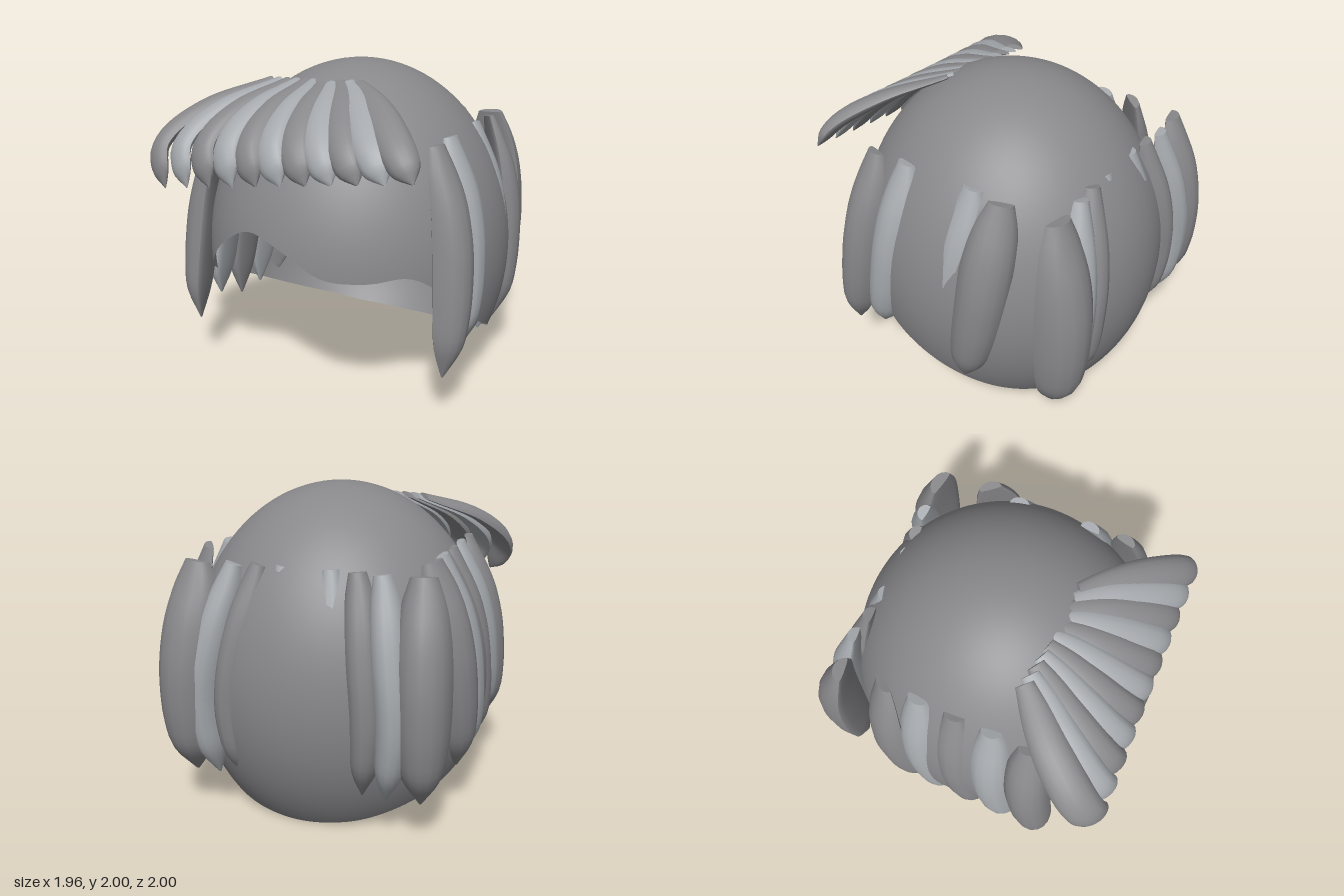
import * as THREE from 'three';
import { toCreasedNormals } from 'three/addons/utils/BufferGeometryUtils.js';

const V = (x, y, z) => new THREE.Vector3(x, y, z);
const lerp = THREE.MathUtils.lerp;
const dark = new THREE.MeshStandardMaterial({ color: 0x88888b, side: THREE.DoubleSide });
const light = new THREE.MeshStandardMaterial({ color: 0xa5a9ad, side: THREE.DoubleSide });
const CENTRE_Y = 0.82, RX = 0.965, RY = 1.18, RZ_FRONT = 1, RZ_BACK = 0.98;

// Height of the cap's hem every 15 degrees, from the front round by the left side
const hem = new THREE.CatmullRomCurve3(
  [1.05, 0.92, 0.9, 0.91, 0.74, 0.52, 0.38, 0.26, 0.16, 0.09, 0.035, 0.01,
    0, 0.01, 0.035, 0.09, 0.16, 0.26, 0.38, 0.5, 0.62, 0.78, 0.98, 1.11].map((y) => V(0, y, 0)),
  true, 'catmullrom');

// Open ellipsoid shell cut along the hem, a little deeper in front
function capGeometry() {
  const g = new THREE.SphereGeometry(1, 120, 40, 0, Math.PI * 2, 0, 3);
  const { position, normal, uv } = g.attributes;
  for (let i = 0; i < position.count; i++) {
    const u = ((uv.getX(i) % 1) + 1) % 1, a = u * Math.PI * 2;
    const rz = Math.cos(a) > 0 ? RZ_FRONT : RZ_BACK;
    const polar = (1 - uv.getY(i)) * Math.acos((hem.getPoint(u).y - CENTRE_Y) / RY);
    const s = Math.sin(polar), c = Math.cos(polar);
    position.setXYZ(i, RX * s * Math.sin(a), CENTRE_Y + RY * c, rz * s * Math.cos(a));
    const n = V(s * Math.sin(a) / RX, c / RY, s * Math.cos(a) / rz).normalize();
    normal.setXYZ(i, n.x, n.y, n.z);
  }
  return g;
}

// Width (x) and thickness (y) along a lock: slim root, full middle, pointed tip
const widths = [0.45, 0.74, 0.9, 0.98, 1, 0.98, 0.9, 0.7, 0.05];
const thicknesses = [0.3, 0.52, 0.74, 0.9, 1, 1, 0.93, 0.72, 0.05];
const taper = new THREE.CatmullRomCurve3(widths.map((w, i) => V(w, thicknesses[i], 0)), false, 'catmullrom');

// Sweep a section, domed outside and nearly flat inside, along a spine
function lockGeometry(points, outward, width, height, tilt = 0) {
  const spine = new THREE.CatmullRomCurve3(points);
  const rings = 24, sides = 16, pos = [], index = [];
  for (let i = 0; i <= rings; i++) {
    const t = i / rings, p = spine.getPoint(t), T = spine.getTangent(t);
    const N = outward(p).addScaledVector(T, -outward(p).dot(T)).normalize().applyAxisAngle(T, tilt);
    const B = N.clone().cross(T);
    const k = taper.getPoint(t);
    for (let j = 0; j < sides; j++) {
      const a = (j / sides) * Math.PI * 2, s = Math.sin(a);
      const q = p.clone().addScaledVector(B, Math.cos(a) * k.x * width / 2)
        .addScaledVector(N, s * k.y * (s > 0 ? height : 0.025));
      pos.push(q.x, q.y, q.z);
      if (i < rings) {
        const A = i * sides + j, b = i * sides + (j + 1) % sides;
        index.push(A, b, A + sides, b, b + sides, A + sides);
      }
    }
  }
  // Root cap
  for (let j = 1; j < sides - 1; j++) index.push(0, j + 1, j);
  const g = new THREE.BufferGeometry();
  g.setAttribute('position', new THREE.Float32BufferAttribute(pos, 3));
  g.setIndex(index);
  return toCreasedNormals(g, 0.9);
}

export function createModel() {
  const model = new THREE.Group();
  model.name = 'hair';
  const group = (name) => {
    const g = new THREE.Group();
    g.name = name;
    model.add(g);
    return g;
  };
  // Locks alternate between the dark and the light tone
  const addLock = (parent, name, i, geometry) => {
    const mesh = new THREE.Mesh(geometry, i % 2 ? light : dark);
    mesh.name = name;
    parent.add(mesh);
  };

  const cap = new THREE.Mesh(capGeometry(), dark);
  cap.name = 'cap';
  model.add(cap);

  // Fringe: locks fanning forward from a short parting
  const fringe = group('fringe');
  const first = [V(-0.45, 1.88, 0.32), V(-0.73, 1.72, 0.64), V(-0.86, 1.52, 0.88), V(-0.78, 1.31, 0.985)];
  const last = [V(0.16, 1.9, 0.37), V(0.43, 1.79, 0.63), V(0.64, 1.65, 0.83), V(0.77, 1.52, 0.92)];
  const count = 11;
  for (let i = 0; i < count; i++) {
    const u = i / (count - 1);
    const pts = first.map((p, k) => p.clone().lerp(last[k], u));
    const geometry = lockGeometry(pts, (p) => V(p.x * 0.7, p.y - CENTRE_Y, p.z), lerp(0.24, 0.21, u), 0.07, 0.22);
    addLock(fringe, 'fringeLock', i, geometry);
  }

  // Side locks: tips leaning forward, faces turning with the head
  for (const side of [1, -1]) {
    const row = group(side > 0 ? 'leftSideLocks' : 'rightSideLocks');
    [0.47, 0.24, 0.01, -0.22, -0.43].forEach((z, i) => {
      const out = side > 0 ? [0.02, 0.01, -0.03, -0.015, 0.01][i] : 0.02;
      const x = (d) => side * (d + out);
      const tip = i === 1 ? 0.41 : 0.32;
      const pts = [V(x(0.68), 1.62, z), V(x(0.765), 1.25, z + 0.03), V(x(0.81), 0.8, z + 0.09), V(x(0.835), tip, z + 0.18)];
      const width = i === 4 ? 0.32 : 0.28;
      addLock(row, 'sideLock', i, lockGeometry(pts, () => V(side, 0, z * (i === 4 ? 1.6 : 0.5)), width, 0.155));
    });
  }

  // Back locks: a row spreading downwards whose middle sinks into the cap
  const back = group('backLocks');
  const rootX = [-0.73, -0.51, -0.36, -0.2, -0.06, 0.08, 0.23, 0.38, 0.61];
  const midX = [-0.76, -0.61, -0.45, -0.25, -0.04, 0.18, 0.38, 0.55, 0.66];
  const sink = [-0.02, 0.015, -0.005, -0.02, -0.03, -0.02, -0.005, 0.015, 0.02];
  rootX.forEach((root, i) => {
    const mid = midX[i], corner = i === 0 || i === 8;
    const z = (d) => -(d + sink[i]);
    const tip = corner ? mid : mid * 0.92;
    const pts = [V(root, 1.59, z(0.71)), V(lerp(root, mid, 0.6), 1.2, z(0.755)), V(mid, 0.75, z(0.77)), V(tip, 0.28, z(0.76))];
    const width = corner ? lerp(0.33, 0.38, i / 8) : 0.23;
    addLock(back, 'backLock', i, lockGeometry(pts, () => V(mid * 0.25, 0, -1), width, corner ? 0.21 : 0.175));
  });

  return model;
}
